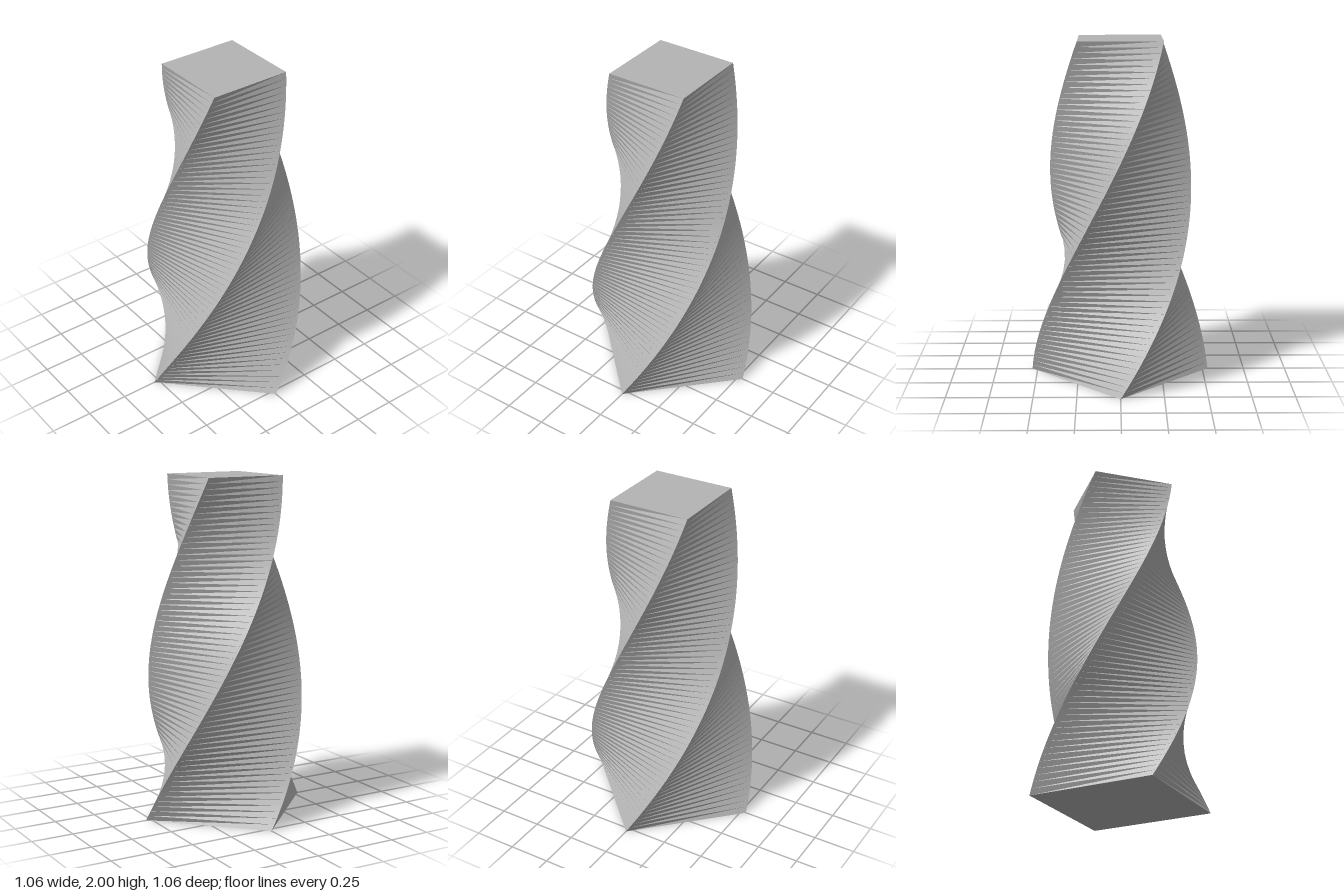
import * as THREE from 'three';

const HEIGHT = 2;
const TWIST = Math.PI * 0.75; // total turn from base to top
const FLOORS = 60;

export function createModel() {
  const group = new THREE.Group();
  group.name = 'twistedTower';

  const concrete = new THREE.MeshStandardMaterial({ color: 0xb4b4b4, flatShading: true });
  concrete.name = 'concreteGrey';

  // Tapered square column, with one ring of corners per floor
  const geometry = new THREE.CylinderGeometry(0.345, 0.532, HEIGHT, 4, FLOORS);
  geometry.translate(0, HEIGHT / 2, 0);

  // Turn each ring in proportion to its height
  const position = geometry.attributes.position;
  const point = new THREE.Vector3();
  const up = new THREE.Vector3(0, 1, 0);
  for (let i = 0; i < position.count; i++) {
    point.fromBufferAttribute(position, i);
    point.applyAxisAngle(up, (TWIST * point.y) / HEIGHT);
    position.setXYZ(i, point.x, point.y, point.z);
  }

  // Flat facets, all in one colour
  const faceted = geometry.toNonIndexed();
  faceted.clearGroups();
  faceted.computeVertexNormals();

  const tower = new THREE.Mesh(faceted, concrete);
  tower.name = 'towerBody';
  group.add(tower);
  return group;
}
